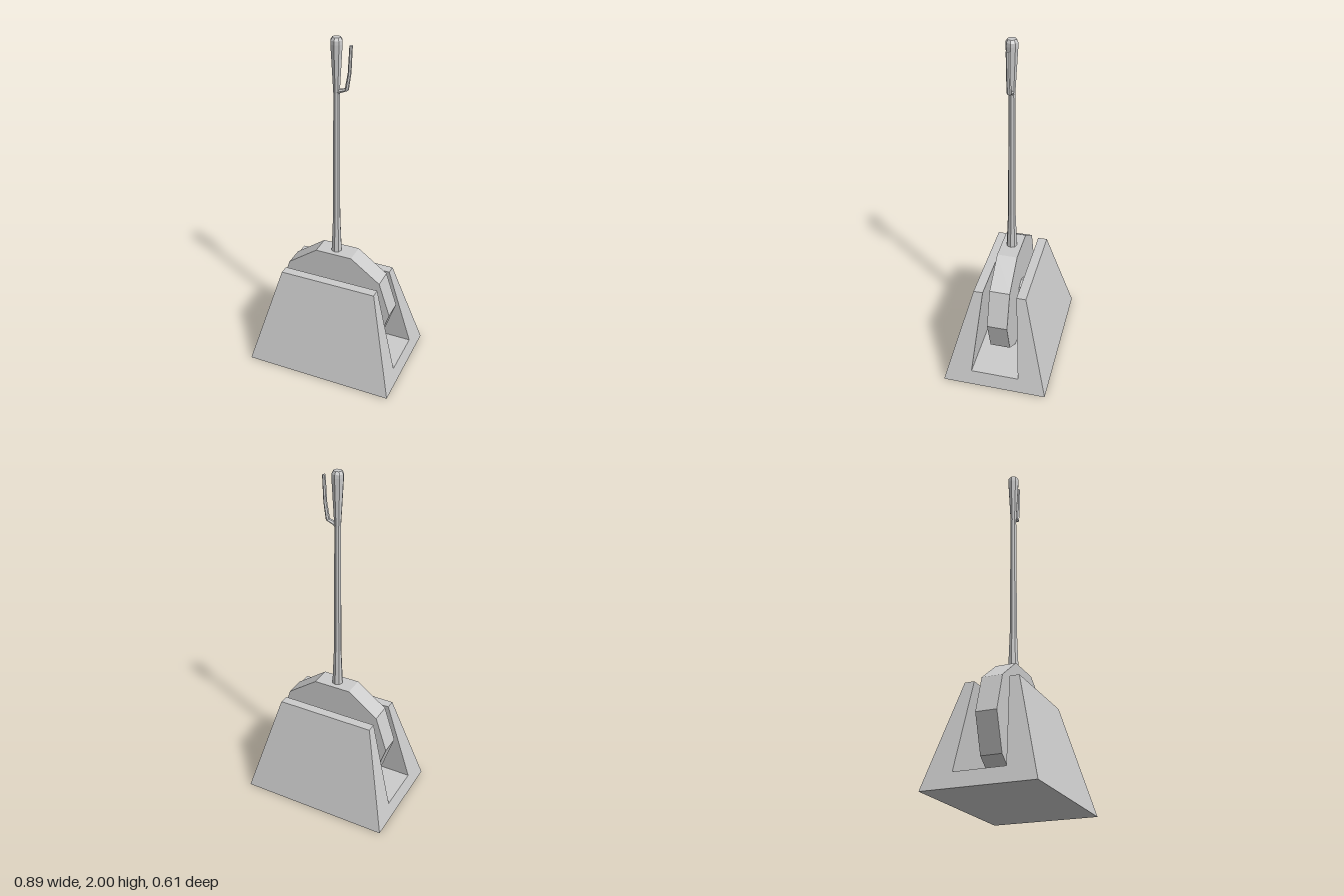
import * as THREE from 'three';

const material = new THREE.MeshStandardMaterial({ color: 0xcccccc, flatShading: true });

function part(name, geometry) {
  const mesh = new THREE.Mesh(geometry, material);
  mesh.name = name;
  return mesh;
}

// Slotted housing: U section extruded along x, ends sloped inwards with height
function housingGeometry() {
  const half = [[0.305, 0], [0.152, 0.585], [0.098, 0.585], [0.14, 0.085]];
  const mirrored = half.map(([z, y]) => [-z, y]).reverse();
  const shape = new THREE.Shape([...half, ...mirrored].map(([z, y]) => new THREE.Vector2(z, y)));
  const g = new THREE.ExtrudeGeometry(shape, { depth: 2, bevelEnabled: false });
  g.translate(0, 0, -1).rotateY(Math.PI / 2);
  const p = g.attributes.position;
  for (let i = 0; i < p.count; i++) {
    p.setX(i, p.getX(i) * (0.443 - 0.265 * p.getY(i)));
  }
  g.computeVertexNormals();
  return g;
}

// Six-sided bar along a bent path in the xy plane; stations are [x, y, thickness, width]
function bentBarGeometry(stations) {
  const sides = 6, positions = [], index = [];
  stations.forEach(([x, y, t, w], i) => {
    const a = stations[Math.max(i - 1, 0)], b = stations[Math.min(i + 1, stations.length - 1)];
    const dir = new THREE.Vector2(b[0] - a[0], b[1] - a[1]).normalize();
    for (let s = 0; s < sides; s++) {
      const angle = (s / sides) * Math.PI * 2;
      const n = Math.sin(angle) * t, z = Math.cos(angle) * w;
      positions.push(x + dir.y * n, y - dir.x * n, z);
    }
  });
  for (let i = 0; i < stations.length - 1; i++) {
    for (let s = 0; s < sides; s++) {
      const a = i * sides + s, b = i * sides + (s + 1) % sides;
      index.push(a, a + sides, b, b, a + sides, b + sides);
    }
  }
  // End caps
  const last = (stations.length - 1) * sides;
  for (let s = 1; s < sides - 1; s++) {
    index.push(0, s, s + 1, last, last + s + 1, last + s);
  }
  // Orient all faces outwards
  for (let i = 0; i < index.length; i += 3) [index[i + 1], index[i + 2]] = [index[i + 2], index[i + 1]];
  const g = new THREE.BufferGeometry();
  g.setAttribute('position', new THREE.Float32BufferAttribute(positions, 3));
  g.setIndex(index);
  g.computeVertexNormals();
  return g;
}

export function createModel() {
  const model = new THREE.Group();
  model.name = 'lever';

  model.add(part('housing', housingGeometry()));

  // Ten-sided pivoting disc with a corner on the x axis
  const disc = new THREE.CylinderGeometry(0.352, 0.352, 0.117, 10);
  disc.rotateY(Math.PI / 2).rotateX(Math.PI / 2).translate(0, 0.395, 0);
  model.add(part('pivotDisc', disc));

  // Axle between the slot walls
  const axle = new THREE.CylinderGeometry(0.07, 0.07, 0.25, 8);
  axle.rotateX(Math.PI / 2).translate(0.003, 0.41, 0);
  model.add(part('axle', axle));

  // Shaft flaring at the foot and into the grip
  const profile = [
    [0, 0.7], [0.032, 0.7], [0.031, 0.73], [0.022, 0.95], [0.018, 1.7],
    [0.033, 1.965], [0.032, 1.985], [0.023, 2], [0, 2],
  ].map(([r, y]) => new THREE.Vector2(r, y));
  const shaft = part('shaftAndGrip', new THREE.LatheGeometry(profile, 8));
  shaft.position.x = -0.005;
  model.add(shaft);

  // Release trigger beside the grip
  model.add(part('trigger', bentBarGeometry([
    [-0.005, 1.7, 0.012, 0.015],
    [0.015, 1.715, 0.011, 0.015],
    [0.052, 1.728, 0.011, 0.013],
    [0.067, 1.82, 0.009, 0.012],
    [0.074, 1.965, 0.008, 0.012],
  ])));

  return model;
}
